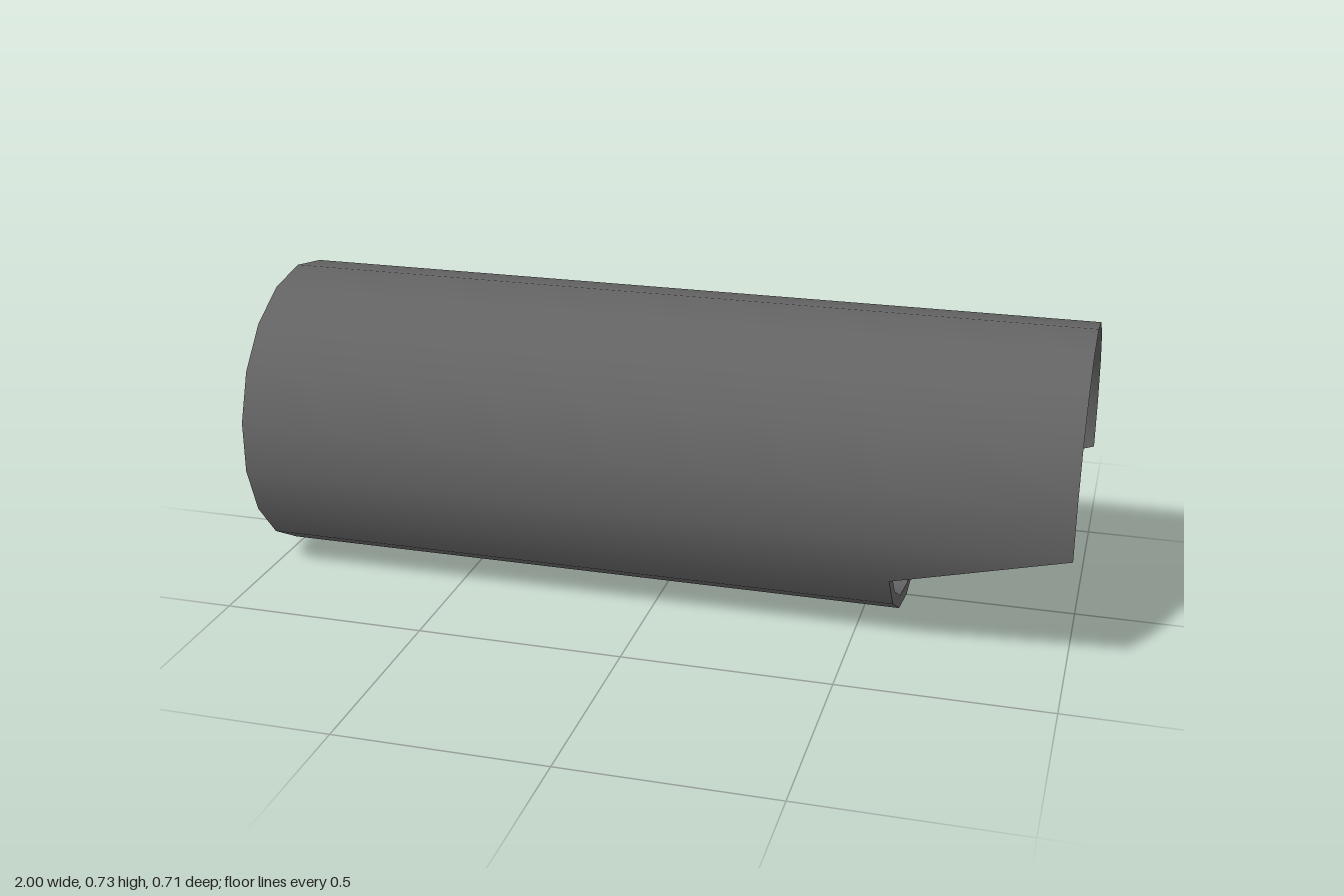
import * as THREE from 'three';
import { toCreasedNormals } from 'three/addons/utils/BufferGeometryUtils.js';

const SIDES = 18, R = 0.363, INNER = 0.332, CUT = 0.59;

// Wedge-walled tube: a closed loop of stations lofted around 18 sides,
// with the front end cut back along the bottom.
function tubeGeometry() {
  const station = (i) => {
    const fromBottom = Math.min(i, SIDES - i);
    const cut = fromBottom <= 3;
    return [
      [-1, R], [CUT, R], [cut ? CUT : 1, R],
      [cut ? CUT : 1, cut ? INNER : R], [CUT, INNER], [-1, R],
    ];
  };
  const point = (i, j) => {
    const k = i % SIDES, a = (k / SIDES) * Math.PI * 2;
    const [x, r] = station(k)[j];
    return new THREE.Vector3(x, R - r * Math.cos(a), r * Math.sin(a));
  };
  const positions = [];
  const addTriangle = (a, b, c) => {
    if (new THREE.Triangle(a, b, c).getArea() < 1e-6) return;
    for (const p of [a, b, c]) positions.push(p.x, p.y, p.z);
  };
  for (let i = 0; i < SIDES; i++) {
    // mirror the diagonal so the slanted cut matches on both sides
    const flip = i >= SIDES / 2;
    for (let j = 0; j < 5; j++) {
      const a = point(i, j), b = point(i, j + 1);
      const c = point(i + 1, j + 1), d = point(i + 1, j);
      if (flip) {
        addTriangle(a, b, d);
        addTriangle(b, c, d);
      } else {
        addTriangle(a, b, c);
        addTriangle(a, c, d);
      }
    }
  }
  const geometry = new THREE.BufferGeometry();
  geometry.setAttribute('position', new THREE.Float32BufferAttribute(positions, 3));
  return toCreasedNormals(geometry, 0.6);
}

export function createModel() {
  const model = new THREE.Group();
  const add = (name, geometry, color) => {
    const mesh = new THREE.Mesh(geometry, new THREE.MeshStandardMaterial({ color }));
    mesh.name = name;
    model.add(mesh);
    return mesh;
  };

  // Outer tube with the notched end
  add('tube', tubeGeometry(), 0x636363);

  // Rounded ring inside, stretched along the tube
  const ring = new THREE.TorusGeometry(0.265, 0.055, 12, 24);
  ring.scale(1, 1, 0.09 / 0.055);
  ring.rotateY(Math.PI / 2);
  add('innerRing', ring, 0xcccccc).position.set(0.28, 0.371, 0);

  // Dark, slightly domed lens in the ring's hole
  const lens = new THREE.SphereGeometry(0.207, 24, 12);
  lens.rotateX(Math.PI / 2);
  lens.scale(1, 1, 0.2);
  lens.rotateY(Math.PI / 2);
  add('lens', lens, 0x0a0a0a).position.set(0.22, 0.366, 0);

  return model;
}
